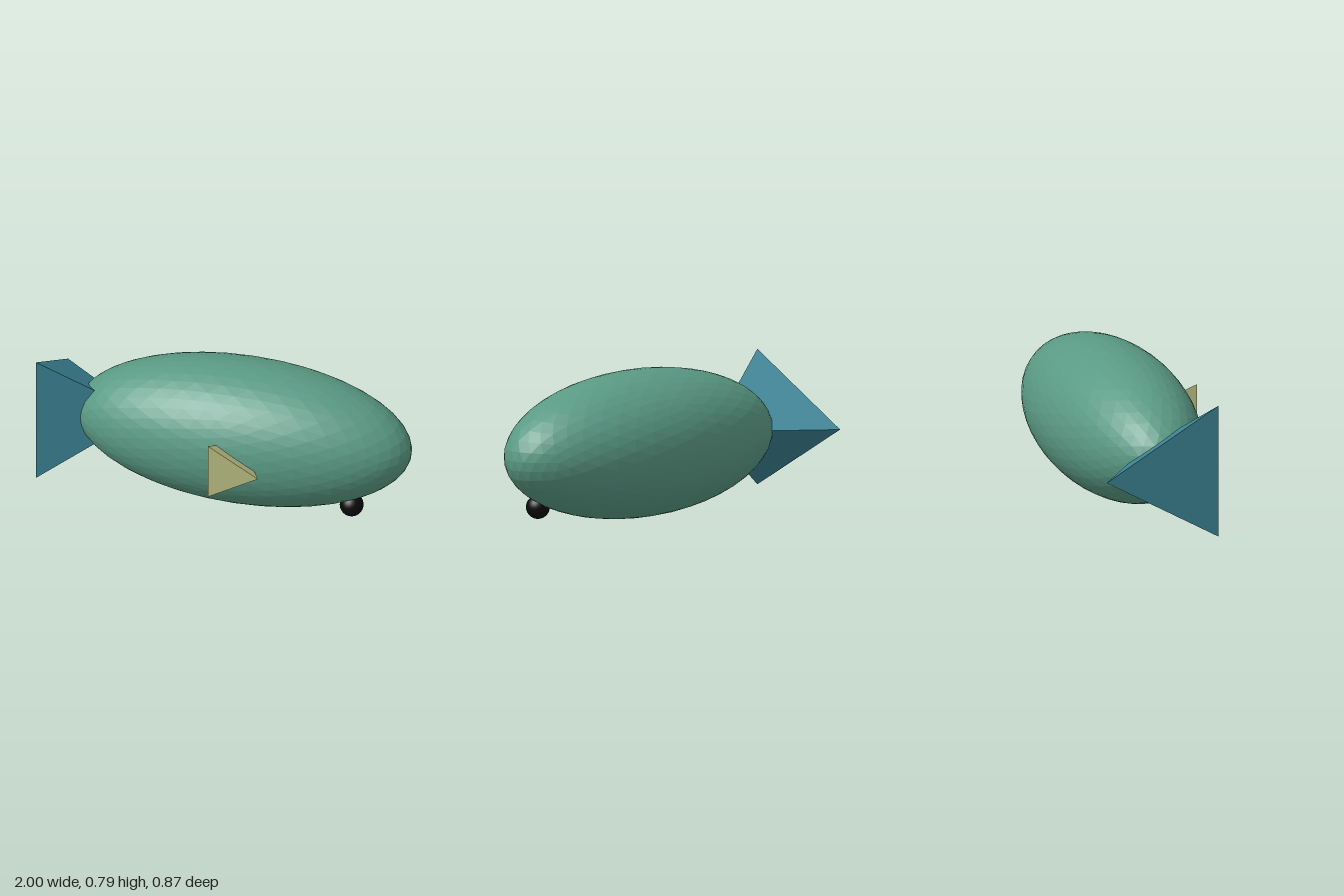
import * as THREE from 'three';

function part(name, geometry, color, position) {
  const mesh = new THREE.Mesh(geometry, new THREE.MeshStandardMaterial({ color, flatShading: true }));
  mesh.name = name;
  mesh.position.set(...position);
  return mesh;
}

// Three-sided cone; start turns the triangle about its axis
const pyramid = (radius, height, start) => new THREE.ConeGeometry(radius, height, 3, 1, false, start);

export function createModel() {
  const model = new THREE.Group();
  model.name = 'fish';

  // Faceted ellipsoid body, long along x
  const body = new THREE.IcosahedronGeometry(1, 7).scale(0.915, 0.393, 0.391);
  model.add(part('body', body, 0x5a9a85, [0.083, 0.395, -0.016]));

  // Tail: apex buried in the body, broad end facing backwards
  const tail = pyramid(0.418, 0.54, Math.PI).rotateZ(-Math.PI / 2);
  model.add(part('tail', tail, 0x3c8496, [-0.73, 0.396, -0.012]));

  // Side fin: apex inward, triangular face outward with its point forward
  const fin = pyramid(0.183, 0.32, Math.PI / 2).rotateX(-Math.PI / 2);
  model.add(part('sideFin', fin, 0xb4b87e, [0.102, 0.396, 0.275]));

  // Small dark eye low on the front
  const eye = new THREE.IcosahedronGeometry(0.063, 7);
  model.add(part('eye', eye, 0x0a0a0a, [0.706, 0.107, 0.104]));

  return model;
}
